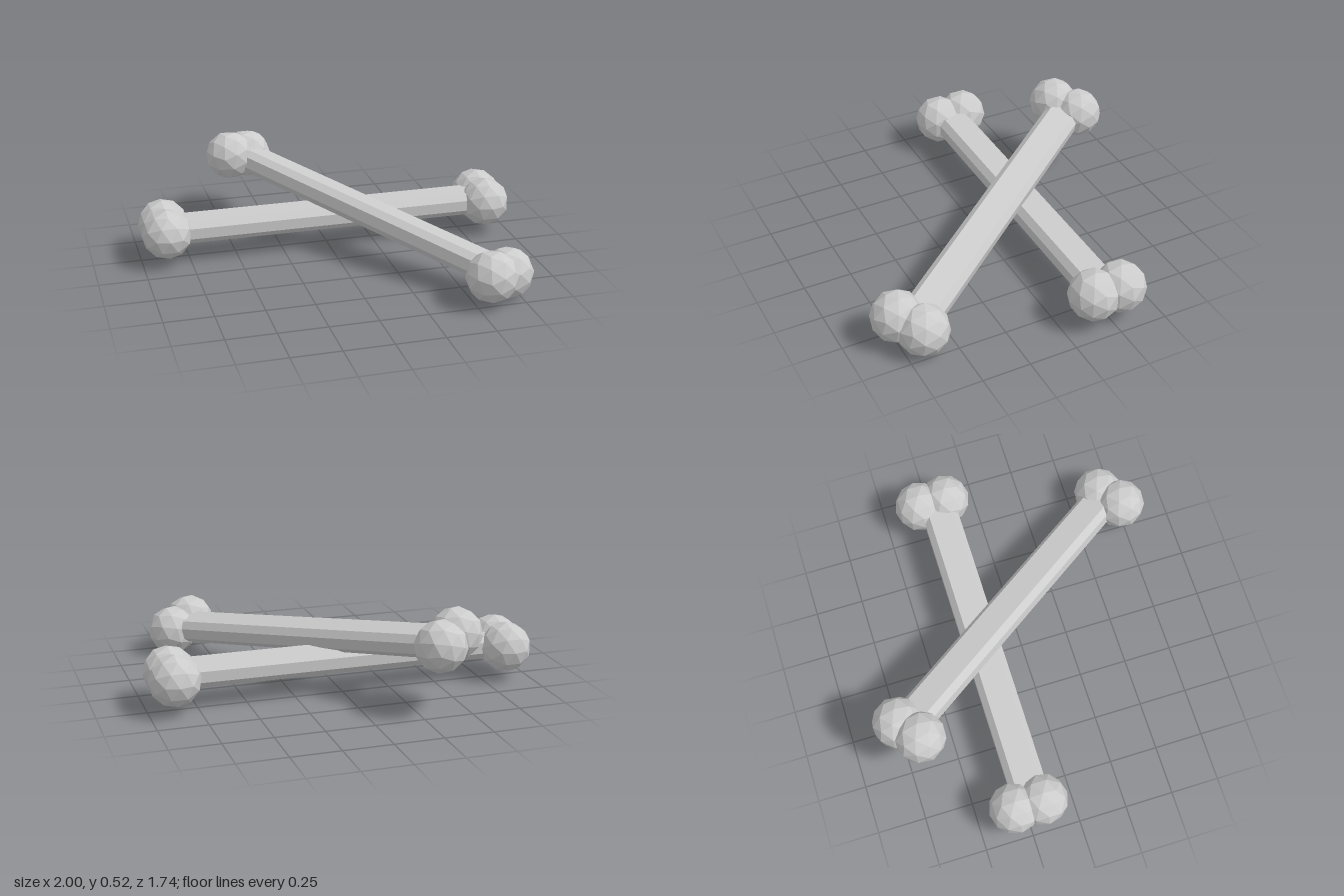
import * as THREE from 'three';

const material = new THREE.MeshStandardMaterial({ color: 0xcccccc, flatShading: true });
const HALF_LENGTH = 0.871; // bone centre to knob centres
const KNOB_RADIUS = 0.131;
const KNOB_OFFSET = 0.073; // bone axis to knob centre

// Flattened eight-sided shaft running along local z
function createShaft() {
  const w = 0.094, h = 0.061, cw = 0.03, ch = 0.033;
  const profile = new THREE.Shape([
    [w, -h + ch], [w, h - ch], [w - cw, h], [-w + cw, h],
    [-w, h - ch], [-w, -h + ch], [-w + cw, -h], [w - cw, -h],
  ].map(([x, y]) => new THREE.Vector2(x, y)));
  const geometry = new THREE.ExtrudeGeometry(profile, { depth: 2 * HALF_LENGTH, bevelEnabled: false });
  geometry.translate(0.022, 0, -HALF_LENGTH);
  const shaft = new THREE.Mesh(geometry, material);
  shaft.name = 'shaft';
  return shaft;
}

// A bone: shaft with a pair of faceted knobs at each end
function createBone(name, centre, axis, across) {
  const bone = new THREE.Group();
  bone.name = name;
  bone.add(createShaft());
  const knobGeometry = new THREE.IcosahedronGeometry(KNOB_RADIUS, 1);
  for (const end of [-1, 1]) {
    for (const side of [-1, 1]) {
      const knob = new THREE.Mesh(knobGeometry, material);
      knob.name = 'knob';
      knob.position.set(side * KNOB_OFFSET, 0, end * HALF_LENGTH);
      bone.add(knob);
    }
  }
  // Orient local z along the bone and local x across its knob pair
  const z = new THREE.Vector3(...axis).normalize();
  const y = new THREE.Vector3().crossVectors(z, new THREE.Vector3(...across)).normalize();
  const x = new THREE.Vector3().crossVectors(y, z);
  bone.quaternion.setFromRotationMatrix(new THREE.Matrix4().makeBasis(x, y, z));
  bone.position.set(...centre);
  return bone;
}

export function createModel() {
  const model = new THREE.Group();
  model.name = 'crossedBones';
  model.add(
    createBone('lowerBone', [0, 0.181, -0.236], [-1, 0, 0], [0, 0, 1]),
    createBone('upperBone', [0.122, 0.268, -0.004], [1.01, -0.235, 1.405], [0.115, -0.03, -0.09]),
  );
  return model;
}
